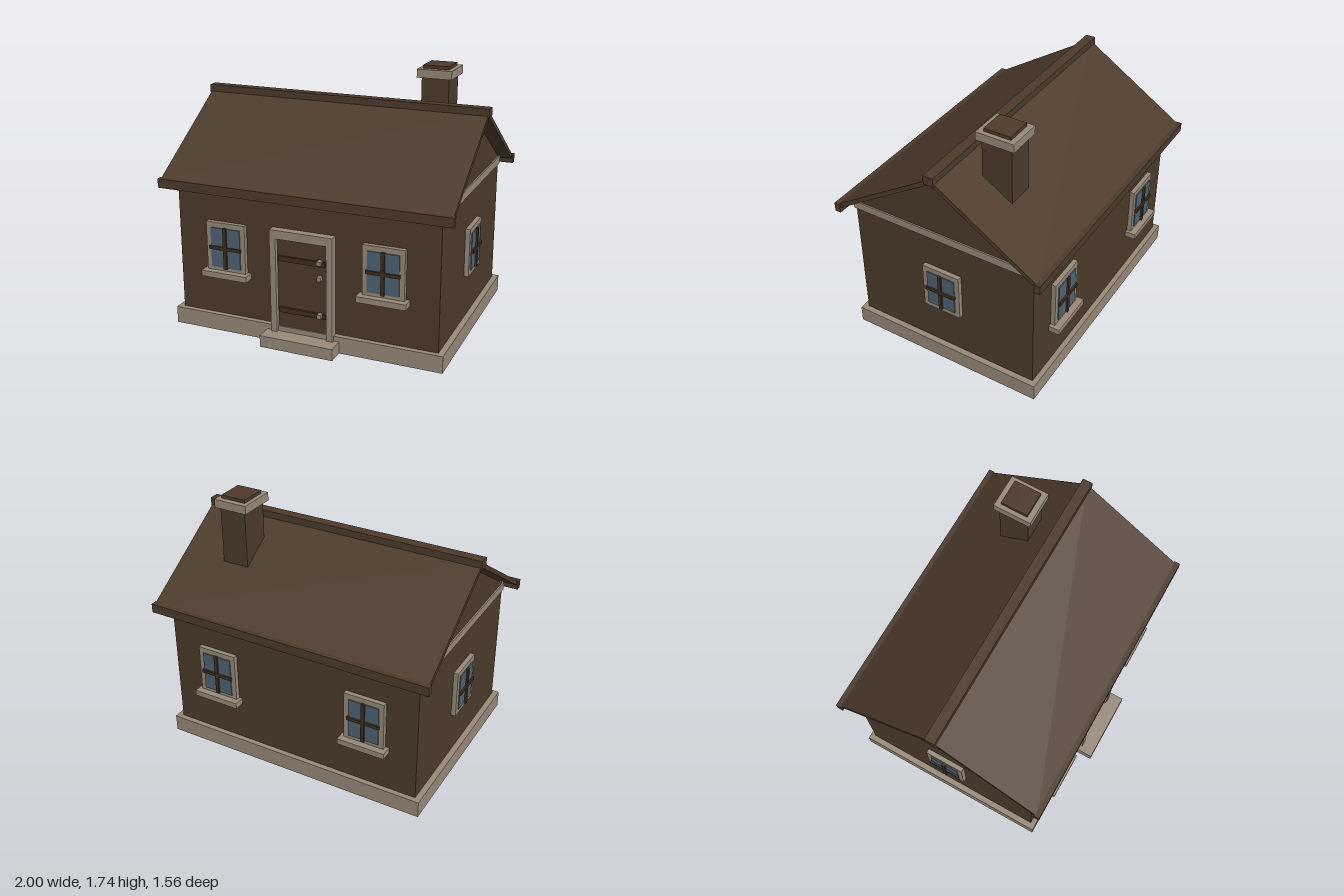
import * as THREE from 'three';

const mat = (name, color) => {
  const m = new THREE.MeshStandardMaterial({ color });
  m.name = name;
  return m;
};

export function createModel() {
  const wood = mat('dark wood', 0x4d3b2c);
  const iron = mat('dark bars', 0x412f20);
  const stone = mat('pale stone', 0x988a7a);
  const glass = mat('blue glass', 0x4f6575);

  const house = new THREE.Group();
  house.name = 'cottage';
  const ZC = -0.025; // middle of the house body

  // Box given by its limits on each axis
  const box = (parent, name, material, [x0, x1], [y0, y1], [z0, z1]) => {
    const mesh = new THREE.Mesh(new THREE.BoxGeometry(x1 - x0, y1 - y0, z1 - z0), material);
    mesh.position.set((x0 + x1) / 2, (y0 + y1) / 2, (z0 + z1) / 2);
    mesh.name = name;
    parent.add(mesh);
    return mesh;
  };

  // Prism running along x, with its outline given as [z, y] points about the ridge line
  const prism = (name, material, points, length) => {
    const shape = new THREE.Shape(points.map(([z, y]) => new THREE.Vector2(z, y)));
    const geo = new THREE.ExtrudeGeometry(shape, { depth: length, bevelEnabled: false });
    geo.translate(0, 0, -length / 2).rotateY(-Math.PI / 2);
    const mesh = new THREE.Mesh(geo, material);
    mesh.position.z = ZC;
    mesh.name = name;
    house.add(mesh);
  };

  // Body
  box(house, 'foundation', stone, [-0.945, 0.945], [0, 0.115], [-0.718, 0.667]);
  box(house, 'doorStep', stone, [-0.255, 0.255], [0, 0.08], [0.6, 0.78]);
  box(house, 'walls', wood, [-0.905, 0.905], [0.115, 0.985], [-0.683, 0.632]);
  box(house, 'wallBand', stone, [-0.915, 0.915], [0.98, 1.035], [-0.695, 0.643]);
  prism('gable', wood, [[-0.655, 1.035], [0.655, 1.035], [0, 1.45]], 1.81);

  // Roof slopes, eaves and ridge
  const slope = 0.642, run = 0.735;
  for (const s of [1, -1]) {
    prism(s > 0 ? 'frontRoof' : 'backRoof', wood, [
      [0, 1.467], [s * run, 1.467 - slope * run],
      [s * run, 1.502 - slope * run], [0, 1.502],
    ], 1.98);
    const z = ZC + s * 0.732;
    box(house, s > 0 ? 'frontEave' : 'backEave', wood, [-1, 1], [0.978, 1.04], [z - 0.021, z + 0.021]);
  }
  box(house, 'ridge', wood, [-1, 1], [1.467, 1.527], [ZC - 0.035, ZC + 0.035]);

  // Chimney
  box(house, 'chimneyStack', wood, [0.487, 0.674], [1.15, 1.66], [-0.393, -0.185]);
  box(house, 'chimneyCap', stone, [0.461, 0.698], [1.656, 1.713], [-0.42, -0.157]);
  box(house, 'chimneyTop', wood, [0.49, 0.668], [1.713, 1.735], [-0.382, -0.195]);

  // Window facing +z, with its back on the wall at z = 0
  const makeWindow = (name, w, h, hasSill) => {
    const g = new THREE.Group();
    g.name = name;
    const gw = w / 2 - 0.034, gh = h / 2 - 0.036;
    box(g, 'windowFrame', stone, [-w / 2, w / 2], [-h / 2, h / 2], [-0.01, 0.031]);
    box(g, 'windowPane', glass, [-gw, gw], [-gh, gh], [0.03, 0.038]);
    box(g, 'uprightBar', iron, [-0.012, 0.012], [-gh - 0.006, gh + 0.006], [0.034, 0.05]);
    box(g, 'crossBar', iron, [-gw - 0.008, gw + 0.008], [-0.011, 0.011], [0.034, 0.05]);
    if (hasSill) box(g, 'windowSill', stone, [-0.165, 0.165], [-h / 2 - 0.028, -h / 2 + 0.012], [-0.01, 0.075]);
    house.add(g);
    return g;
  };
  for (const s of [1, -1]) {
    const side = s > 0 ? 'left' : 'right';
    makeWindow(side + 'FrontWindow', 0.28, 0.345, true).position.set(s * 0.548, 0.597, 0.632);
    const back = makeWindow(side + 'BackWindow', 0.28, 0.345, true);
    back.position.set(s * 0.548, 0.597, -0.683);
    back.rotation.y = Math.PI;
    const gable = makeWindow(side + 'SideWindow', 0.272, 0.33, false);
    gable.position.set(s * 0.905, 0.588, ZC);
    gable.rotation.y = s * Math.PI / 2;
  }

  // Door with its frame, straps and fittings
  const door = new THREE.Group();
  door.name = 'door';
  house.add(door);
  box(door, 'doorLeaf', wood, [-0.175, 0.175], [0.115, 0.73], [0.62, 0.657]);
  for (const s of [1, -1]) {
    const x = s * 0.196;
    box(door, 'doorPost', stone, [x - 0.021, x + 0.021], [0.08, 0.73], [0.62, 0.687]);
  }
  box(door, 'doorLintel', stone, [-0.217, 0.217], [0.727, 0.785], [0.62, 0.687]);
  for (const y of [0.592, 0.236]) {
    box(door, 'doorStrap', iron, [-0.166, 0.163], [y - 0.017, y + 0.017], [0.65, 0.672]);
  }
  for (const y of [0.605, 0.498, 0.241]) {
    box(door, 'doorFitting', stone, [0.112, 0.139], [y - 0.014, y + 0.014], [0.65, 0.692]);
  }

  return house;
}
